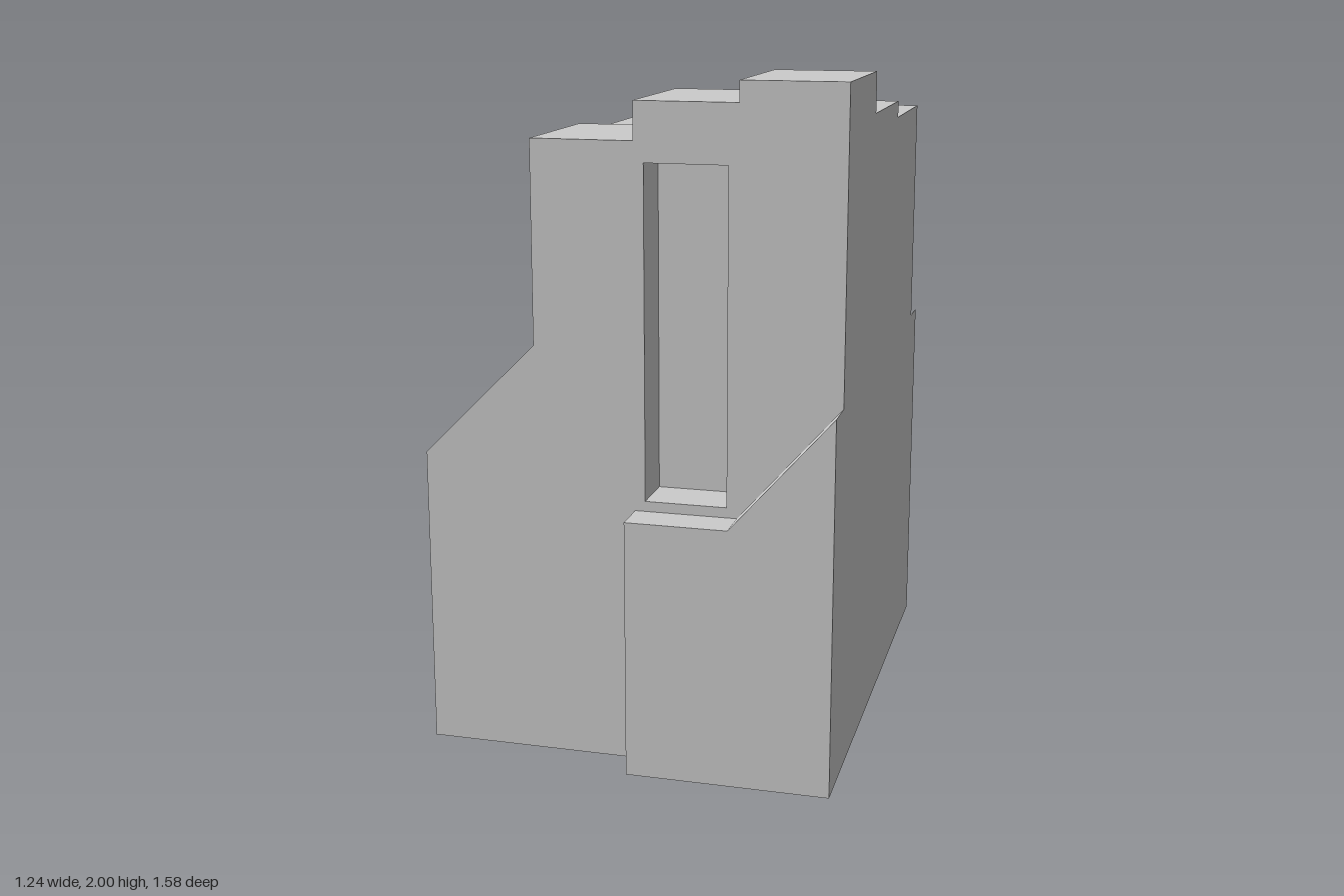
import * as THREE from 'three';

const material = new THREE.MeshStandardMaterial({ color: 0xcccccc, flatShading: true });

const rect = (x0, y0, x1, y1) => [[x0, y0], [x1, y0], [x1, y1], [x0, y1]];
const toPoints = (pts) => pts.map(([x, y]) => new THREE.Vector2(x, y));

// Extrudes an x-y profile, with an optional hole, from z0 to z1
function slab(name, profile, z0, z1, hole) {
  const shape = new THREE.Shape(toPoints(profile));
  if (hole) shape.holes.push(new THREE.Path(toPoints(hole)));
  const geometry = new THREE.ExtrudeGeometry(shape, { depth: z1 - z0, bevelEnabled: false });
  geometry.translate(0, 0, z0);
  const mesh = new THREE.Mesh(geometry, material);
  mesh.name = name;
  return mesh;
}

export function createModel() {
  const model = new THREE.Group();
  model.name = 'tower';

  const back = 0.62, face = -0.28, nose = -0.62; // x planes
  const half = 0.675, third = 0.225, roof = 1.8;
  const inset = 0.045, slotDepth = 0.15;

  // Solid core behind the recessed faces
  const inner = half - slotDepth;
  model.add(slab('core', rect(face + inset, 0, back, roof), -inner, inner));

  // Wide recessed window on the -x face
  const frame = slab('windowFrame', rect(-half, 0, half, roof), 0, inset,
    rect(-0.62, 1.3, 0.62, 1.74));
  frame.rotation.y = -Math.PI / 2;
  frame.position.x = face + inset;
  model.add(frame);

  // Leg profiles: full cheek, and a middle part notched for its window
  const cheek = [[face, 0], [face, 1.24], [nose, 0.9], [nose, 0]];
  const notched = [[face, 0], [face, 1.24], [nose, 0.9], [nose, 0.86],
    [nose + inset, 0.86], [nose + inset, 0.04], [nose, 0.04], [nose, 0]];
  const buttress = [[0.02, 0], [back, 0], [back, 1.11], [0.32, 0.77], [0.02, 0.77]];

  for (const side of [-1, 1]) {
    const add = (name, profile, a, b, hole) =>
      model.add(slab(name, profile, Math.min(a * side, b * side), Math.max(a * side, b * side), hole));
    // Side wall with a tall slot
    add('slottedWall', rect(face + inset, 0, back, roof), inner, half, rect(0.05, 0.8, 0.29, 1.77));
    // Sloped buttress on the outside
    add('buttress', buttress, half, 0.79);
    // Projecting leg with a recessed panel
    add('legInnerCheek', cheek, third, third + 0.045);
    add('legPanel', notched, third + 0.045, half - 0.045);
    add('legOuterCheek', cheek, half - 0.045, half);
  }

  // Stepped roof tiles: x0, x1, z0, z1, top height
  const tiles = [
    [0.32, back, -half, -third, 1.83],
    [0.02, 0.32, -third, third, 1.83],
    [0.32, back, -third, third, 1.88],
    [face, 0.02, third, half, 1.83],
    [0.02, 0.32, third, half, 1.94],
    [0.32, back, third, half, 2.0],
  ];
  for (const [x0, x1, z0, z1, top] of tiles) {
    model.add(slab('roofTile', rect(x0, roof, x1, top), z0, z1));
  }

  return model;
}
